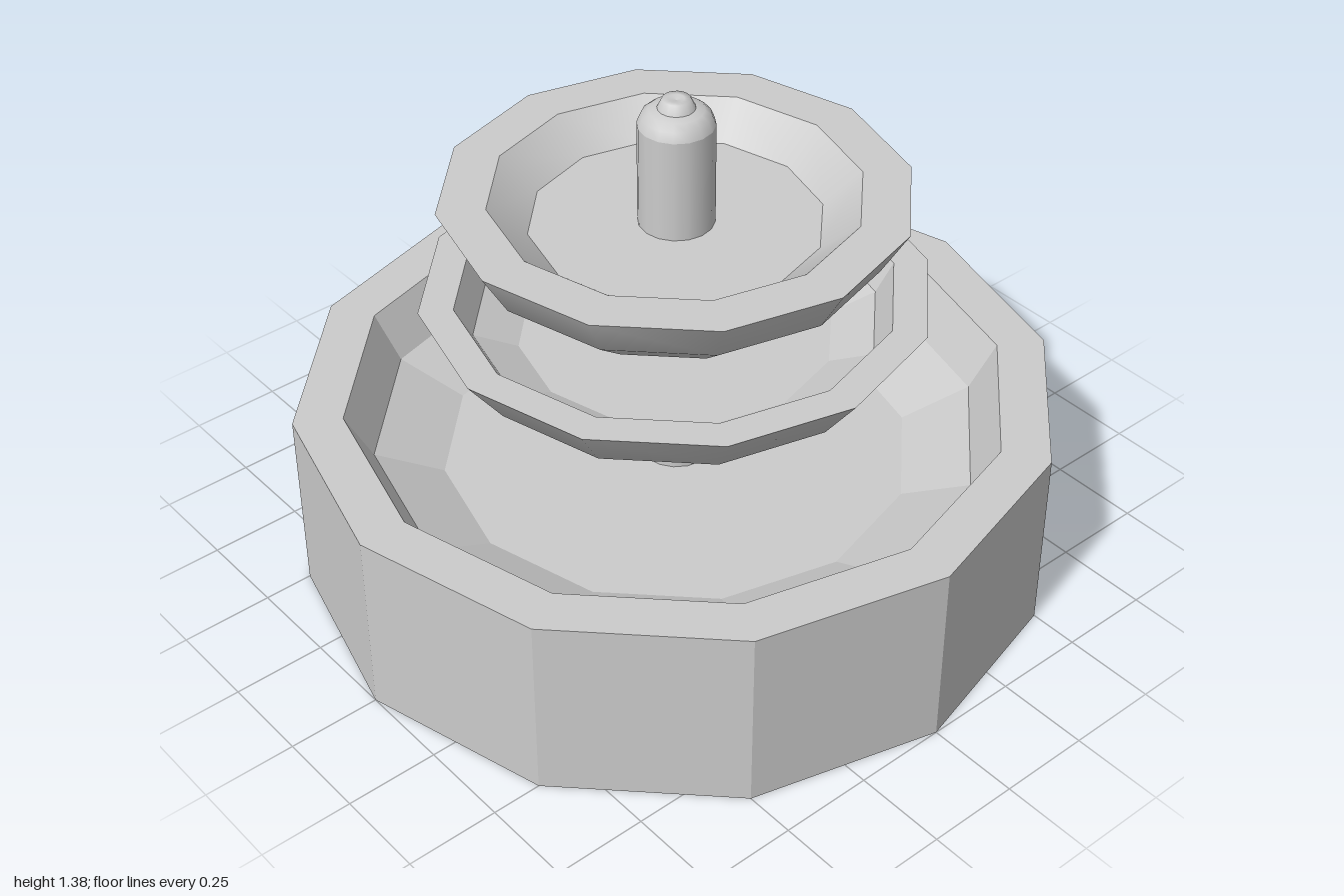
import * as THREE from 'three';

const smooth = new THREE.MeshStandardMaterial({ color: 0xcccccc });
const faceted = new THREE.MeshStandardMaterial({ color: 0xcccccc, flatShading: true });

// Surface turned around the y axis; profiles run up the outside and down the inside
function turned(name, profile, material, sides = 12) {
  const points = profile.map(([r, y]) => new THREE.Vector2(r, y));
  const mesh = new THREE.Mesh(new THREE.LatheGeometry(points, sides), material);
  mesh.name = name;
  return mesh;
}

// Dish made of a flat underside, a softly shaded outer bowl, and a rim with its hollow
function dish(name, outer, hollow, hollowMaterial) {
  const group = new THREE.Group();
  group.name = name;
  const bottom = outer[0];
  const rim = outer[outer.length - 1];
  const floor = hollow[hollow.length - 1];
  group.add(
    turned('underside', [[0, bottom[1]], bottom], faceted),
    turned('outerBowl', outer, smooth),
    turned('rim', [rim, hollow[0]], faceted),
    turned('hollow', hollow, hollowMaterial),
    turned('dishFloor', [floor, [0, floor[1]]], faceted)
  );
  return group;
}

export function createModel() {
  const model = new THREE.Group();
  model.name = 'tieredFountain';

  // Twelve-sided basin with a stepped hollow
  model.add(turned('basin', [
    [0, 0], [1, 0], [1, 0.52], [0.87, 0.52], [0.8, 0.39], [0.62, 0.31], [0, 0.31]
  ], faceted));

  // Two dishes carried by the post
  model.add(dish('lowerDish',
    [[0.38, 0.585], [0.56, 0.69], [0.66, 0.825]],
    [[0.57, 0.825], [0.525, 0.74], [0.41, 0.69]], faceted));
  model.add(dish('upperDish',
    [[0.4, 0.89], [0.53, 0.995], [0.6, 1.115]],
    [[0.475, 1.115], [0.375, 1.03]], smooth));

  // Central post with a rounded shoulder and small nozzle
  model.add(turned('post', [[0.098, 0.3], [0.098, 1.31]], smooth, 16));
  model.add(turned('postShoulder', [
    [0.098, 1.31], [0.088, 1.335], [0.07, 1.35], [0.048, 1.355]
  ], smooth, 16));
  model.add(turned('nozzle', [
    [0.048, 1.355], [0.036, 1.38], [0.02, 1.38], [0, 1.375]
  ], smooth, 16));

  return model;
}
